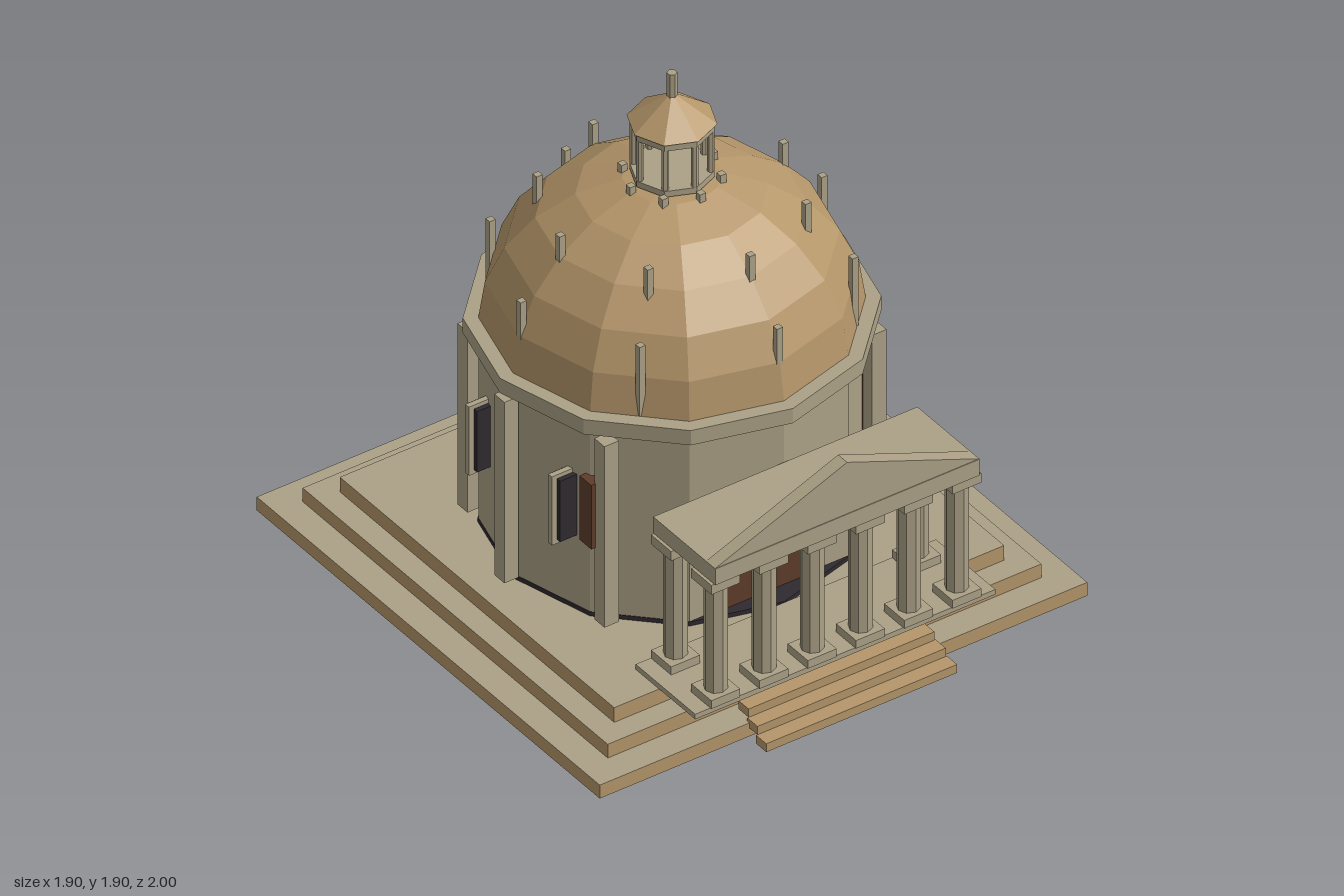
import * as THREE from 'three';

const mat = (name, color) => {
  const m = new THREE.MeshStandardMaterial({ color, flatShading: true });
  m.name = name;
  return m;
};

export function createModel() {
  const model = new THREE.Group();
  model.name = 'domedTemple';
  const stone = mat('stone', 0xaca186);
  const tan = mat('tan', 0xb5966a);
  const brown = mat('doorBrown', 0x5e3d2b);
  const dark = mat('dark', 0x2f2a2f);
  const CZ = -0.05; // centre of the round hall

  const add = (name, geo, material, x = 0, y = 0, z = 0) => {
    const m = new THREE.Mesh(geo, material);
    m.name = name;
    m.position.set(x, y, z);
    model.add(m);
    return m;
  };
  // Box given by its centre in x and z and its bottom and top heights
  const box = (name, material, x, z, w, d, y0, y1) =>
    add(name, new THREE.BoxGeometry(w, y1 - y0, d), material, x, (y0 + y1) / 2, z);
  // Regular prism between two heights
  const prism = (name, material, r0, r1, sides, y0, y1, x = 0, z = CZ) =>
    add(name, new THREE.CylinderGeometry(r1, r0, y1 - y0, sides), material, x, (y0 + y1) / 2, z);
  // Points at given angles (degrees from +x, positive to the front)
  const around = (r, angles, fn) => angles.forEach((a) => {
    const t = THREE.MathUtils.degToRad(a);
    fn(r * Math.cos(t), CZ + r * Math.sin(t));
  });
  const eight = Array.from({ length: 8 }, (_, i) => i * 45);

  // Square stepped base: tan risers, stone treads, dark underside
  const stepMats = [tan, tan, stone, dark, tan, tan];
  [[0.95, 0, 0.053], [0.845, 0.053, 0.107], [0.76, 0.107, 0.165]].forEach(([h, y0, y1]) =>
    box('baseStep', stepMats, 0, CZ, 2 * h, 2 * h, y0, y1));

  // Front stairs
  for (let i = 0; i < 5; i++) {
    box('frontStair', tan, 0, 0.9725 - i * 0.056, 0.744 - i * 0.01, 0.057, i * 0.033, (i + 1) * 0.033);
  }

  // Hall floor
  prism('hallFloor', dark, 0.622, 0.622, 12, 0.165, 0.181);

  // Lower wall: twelve-sided, with the front corner cut back for the entrance
  const wall = new THREE.Shape();
  for (let i = 1; i < 12; i++) {
    const t = i * Math.PI / 6;
    wall[i === 1 ? 'moveTo' : 'lineTo'](0.62 * Math.sin(t), -0.62 * Math.cos(t));
  }
  wall.closePath();
  const wallGeo = new THREE.ExtrudeGeometry(wall, { depth: 0.439, bevelEnabled: false });
  wallGeo.rotateX(-Math.PI / 2);
  add('lowerWall', wallGeo, stone, 0, 0.181, CZ);
  prism('upperWall', stone, 0.62, 0.62, 12, 0.62, 0.915);
  prism('cornice', stone, 0.67, 0.67, 12, 0.915, 0.973);

  // Entrance door and side panels
  box('door', brown, 0, 0.485, 0.38, 0.02, 0.181, 0.61);
  for (const s of [-1, 1]) box('sidePanel', brown, s * 0.528, 0.275, 0.076, 0.065, 0.467, 0.72);

  // Pilasters, leaving out the two at the entrance
  around(0.645, [0, 36, 144, 180, 216, 252, 288, 324], (x, z) =>
    box('pilaster', stone, x, z, 0.056, 0.056, 0.181, 0.896));

  // Windows
  around(0.6, [22.5, 157.5, 202.5, 247.5, 292.5, 337.5], (x, z) => {
    box('windowFrame', stone, x, z, 0.165, 0.02, 0.442, 0.713);
    box('windowPane', dark, x, z, 0.126, 0.055, 0.458, 0.698);
  });

  // Dome
  const domeGeo = new THREE.SphereGeometry(0.62, 12, 6, Math.PI / 2, Math.PI * 2, 0, Math.PI / 2);
  domeGeo.scale(1, 0.54 / 0.62, 1);
  add('dome', domeGeo, tan, 0, 0.973, CZ);

  // Three rings of posts standing out of the dome
  [[0.587, 0.975, 1.247], [0.435, 1.22, 1.443], [0.16, 1.4, 1.522]].forEach(([r, y0, y1]) =>
    around(r, eight, (x, z) => box('domePost', stone, x, z, 0.023, 0.023, y0, y1)));

  // Lantern
  prism('lanternFloor', stone, 0.138, 0.138, 8, 1.505, 1.528);
  around(0.125, eight, (x, z) => prism('lanternColumn', stone, 0.012, 0.012, 6, 1.528, 1.688, x, z));
  prism('lanternRing', stone, 0.138, 0.138, 8, 1.686, 1.714);
  add('lanternRoof', new THREE.ConeGeometry(0.147, 0.108, 8), tan, 0, 1.768, CZ);
  prism('finial', stone, 0.017, 0.017, 6, 1.8, 1.9);

  // Portico floor, columns, beam and pediment
  box('porticoFloor', stone, 0, 0.745, 1.17, 0.33, 0.165, 0.185);
  const column = (x, z) => {
    box('columnBase', stone, x, z, 0.112, 0.112, 0.185, 0.217);
    prism('columnShaft', stone, 0.04, 0.04, 8, 0.217, 0.638, x, z);
    box('columnCapital', stone, x, z, 0.112, 0.112, 0.636, 0.673);
  };
  for (let i = 0; i < 6; i++) column(-0.47 + i * 0.188, 0.86);
  for (const s of [-1, 1]) column(s * 0.47, 0.637);
  box('porticoBeam', stone, 0, 0.75, 1.03, 0.345, 0.673, 0.737);
  const gable = new THREE.Shape([[-0.515, 0], [0.515, 0], [0, 0.203]].map((p) => new THREE.Vector2(...p)));
  add('pediment', new THREE.ExtrudeGeometry(gable, { depth: 0.05, bevelEnabled: false }), stone, 0, 0.737, 0.87);

  return model;
}
